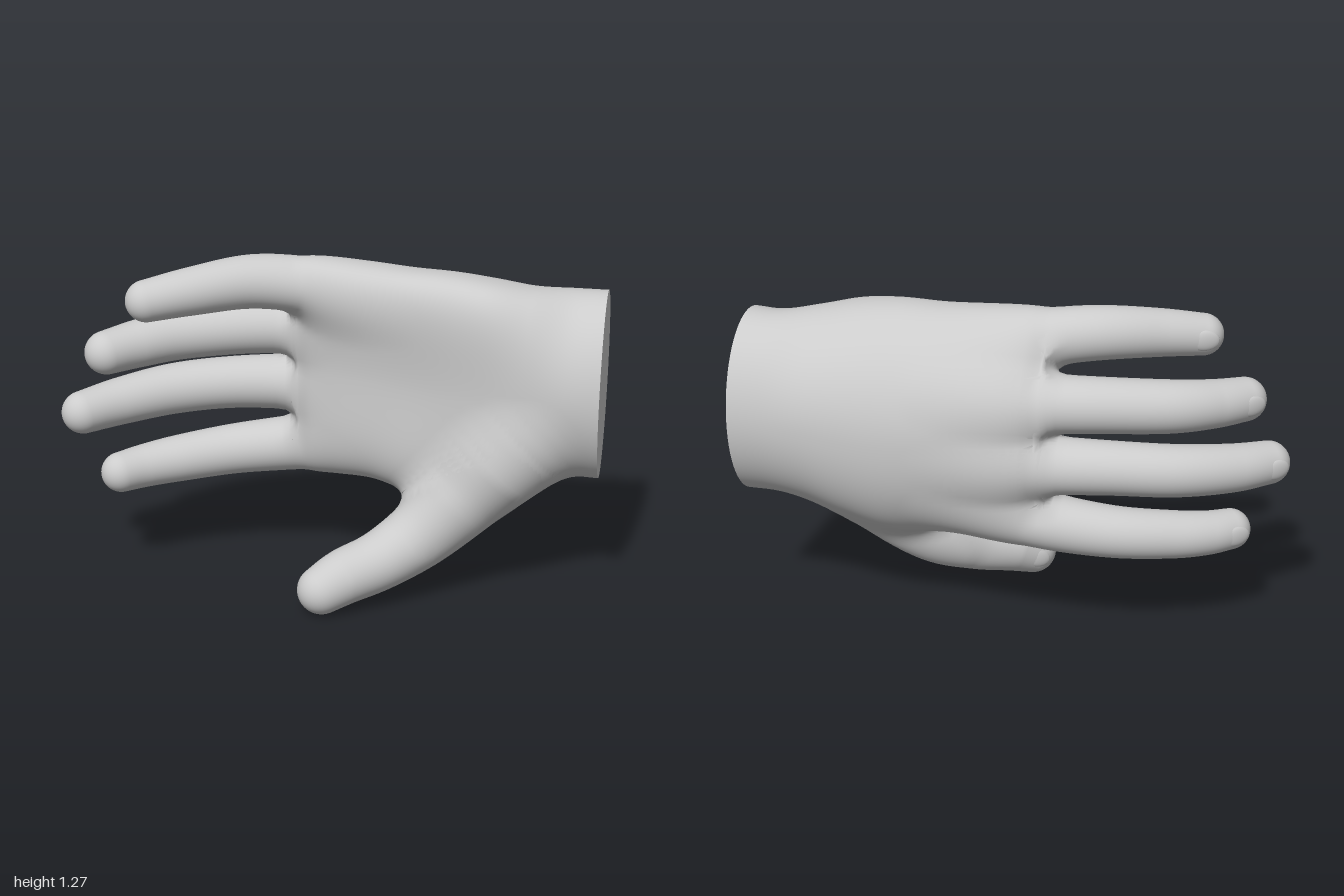
import * as THREE from 'three';

const material = new THREE.MeshStandardMaterial({ color: 0xcccccc });
const PALM_SIDES = 120, FINGER_SIDES = 48, STEPS = 40;
const { clamp, smoothstep } = THREE.MathUtils;

// Palm and wrist: x, bottom y, top y, back z, front z, little-finger-side bend,
// index-side bend, squareness
const PALM = [
  [1.00, 0.460, 1.175, -0.385, 0.14, 0, 0, 2],
  [0.88, 0.460, 1.175, -0.385, 0.14, 0, 0, 2],
  [0.74, 0.435, 1.190, -0.385, 0.132, 0.06, 0.02, 2.15],
  [0.60, 0.385, 1.217, -0.385, 0.122, 0.095, 0.04, 2.3],
  [0.45, 0.345, 1.235, -0.382, 0.105, 0.10, 0.05, 2.3],
  [0.30, 0.360, 1.240, -0.378, 0.082, 0.10, 0.05, 2.3],
  [0.15, 0.393, 1.243, -0.368, 0.060, 0.10, 0.03, 2.35],
  [0.01, 0.408, 1.238, -0.343, 0.025, 0.10, 0.02, 2.4],
  [-0.08, 0.425, 1.222, -0.312, -0.015, 0.095, 0.02, 2.4],
  [-0.14, 0.465, 1.185, -0.275, -0.07, 0.085, 0.02, 2.4],
];
const PALM_END = -0.14;

// Fingers as rows of x, y, z, radius from inside the palm to the tip
const FINGERS = {
  littleFinger: [
    [0.30, 1.06, -0.09, 0.08], [0.10, 1.113, -0.075, 0.10], [-0.10, 1.155, -0.06, 0.104],
    [-0.30, 1.175, -0.005, 0.10], [-0.50, 1.158, 0.10, 0.089], [-0.65, 1.137, 0.18, 0.078]],
  ringFinger: [
    [0.25, 0.95, -0.19, 0.10], [0.05, 0.95, -0.20, 0.115], [-0.15, 0.955, -0.185, 0.109],
    [-0.35, 0.953, -0.14, 0.103], [-0.58, 0.94, -0.055, 0.098], [-0.72, 0.925, 0.045, 0.09],
    [-0.82, 0.915, 0.143, 0.082]],
  middleFinger: [
    [0.25, 0.73, -0.20, 0.10], [0.05, 0.72, -0.215, 0.118], [-0.15, 0.722, -0.205, 0.109],
    [-0.40, 0.72, -0.16, 0.10], [-0.62, 0.705, -0.088, 0.097], [-0.80, 0.685, 0.03, 0.09],
    [-0.92, 0.672, 0.145, 0.081]],
  indexFinger: [
    [0.25, 0.56, -0.18, 0.09], [0.05, 0.52, -0.185, 0.105], [-0.15, 0.485, -0.18, 0.106],
    [-0.40, 0.453, -0.14, 0.097], [-0.60, 0.43, -0.06, 0.09], [-0.72, 0.418, 0.01, 0.083],
    [-0.80, 0.412, 0.08, 0.077]],
  thumb: [
    [0.88, 0.78, -0.12, 0.11], [0.69, 0.59, -0.03, 0.18], [0.52, 0.41, 0.005, 0.158],
    [0.36, 0.255, 0.075, 0.131], [0.22, 0.172, 0.17, 0.112], [0.10, 0.132, 0.25, 0.104],
    [0.022, 0.094, 0.304, 0.091]],
};

// Smooth (Catmull-Rom) interpolation through rows of numbers, t from 0 to 1
function sample(rows, t) {
  const f = Math.min(t, 1) * (rows.length - 1);
  const i = Math.min(Math.floor(f), rows.length - 2);
  const k = f - i;
  const b = rows[i], c = rows[i + 1];
  const a = rows[i - 1] || b.map((v, n) => 2 * v - c[n]);
  const d = rows[i + 2] || c.map((v, n) => 2 * v - b[n]);
  return b.map((v, n) => v + 0.5 * k * (c[n] - a[n]
    + k * (2 * a[n] - 5 * v + 4 * c[n] - d[n] + k * (3 * (v - c[n]) + d[n] - a[n]))));
}
const steps = (rows, n) => Array.from({ length: n + 1 }, (_, i) => sample(rows, i / n));
const sections = steps(PALM, 117);
const bones = Object.values(FINGERS).map((rows) => steps(rows, STEPS));

// Approximate distance from the palm, hollowed along the middle of its front
function palmDistance([x, y, z]) {
  let i = sections.findIndex((s) => s[0] <= x);
  if (i < 0) i = sections.length - 1;
  i = Math.max(i, 1);
  const a = sections[i - 1], b = sections[i];
  const k = clamp((x - a[0]) / (b[0] - a[0]), 0, 1);
  const [, y0, y1, z0, z1, bendTop, bendBottom, n] = a.map((v, j) => v + k * (b[j] - v));
  const dy = y - (y0 + y1) / 2, t = dy / ((y1 - y0) / 2);
  const dz = z - (z0 + z1) / 2 - (t > 0 ? bendTop : bendBottom) * t * t;
  const hollow = dz > 0 ? 0.14 * smoothstep(0.75 - x, 0, 0.5) * Math.max(1 - t * t, 0) ** 2 : 0;
  const s = dz / ((z1 - z0) / 2) / (1 - hollow);
  const rho = Math.max((Math.abs(t) ** n + Math.abs(s) ** n) ** (1 / n), 1e-3);
  const side = (1 - 1 / rho) * Math.hypot(dy, dz), end = PALM_END - x;
  return Math.hypot(Math.max(side, 0), Math.max(end, 0)) + Math.min(Math.max(side, end), 0);
}

// Distance from a finger's chain of tapered segments
function boneDistance(bone, [x, y, z]) {
  let best = Infinity;
  for (let i = 1; i < bone.length; i++) {
    const a = bone[i - 1], b = bone[i];
    const ux = b[0] - a[0], uy = b[1] - a[1], uz = b[2] - a[2];
    const px = x - a[0], py = y - a[1], pz = z - a[2];
    const h = clamp((px * ux + py * uy + pz * uz) / (ux * ux + uy * uy + uz * uz), 0, 1);
    const dx = px - h * ux, dy = py - h * uy, dz = pz - h * uz;
    best = Math.min(best, Math.sqrt(dx * dx + dy * dy + dz * dz) - a[3] - h * (b[3] - a[3]));
  }
  return best;
}

// Hand-wide field whose zero surface flows from the palm into the fingers
function blend(a, b, k) {
  const h = Math.max(k - Math.abs(a - b), 0) / k;
  return Math.min(a, b) - h * h * k / 4;
}
function field(p) {
  const fingers = bones.reduce((d, bone) => blend(d, boneDistance(bone, p), 0.03), 10);
  return blend(fingers, palmDistance(p), 0.1);
}
function gradient(p) {
  const e = 0.002, f = field(p);
  return [0, 1, 2].map((n) => (field(p.map((v, j) => (j === n ? v + e : v))) - f) / e);
}

// Skin over closed rings of points with a tip at the last one; vertices near
// the blended surface settle on it so that the joints are filleted
function skin(name, rings, tip) {
  const sides = rings[0].length, positions = [], normals = [], index = [];
  for (const v of [...rings.flat(), tip]) {
    let p = v.toArray(), g = gradient(p);
    if (field(p) > -0.055) {
      for (let i = 0; i < 5; i++) {
        const scale = field(p) / Math.max(g[0] ** 2 + g[1] ** 2 + g[2] ** 2, 0.1);
        p = p.map((c, n) => c - g[n] * scale);
        g = gradient(p);
      }
    }
    positions.push(...p);
    normals.push(...new THREE.Vector3(...g).normalize().toArray());
  }
  for (let i = 0; i < rings.length; i++) {
    for (let j = 0; j < sides; j++) {
      const a = i * sides + j, b = i * sides + (j + 1) % sides;
      if (i < rings.length - 1) index.push(a, b, a + sides, b, b + sides, a + sides);
      else index.push(a, b, rings.length * sides);
    }
  }
  const geometry = new THREE.BufferGeometry();
  geometry.setAttribute('position', new THREE.Float32BufferAttribute(positions, 3));
  geometry.setAttribute('normal', new THREE.Float32BufferAttribute(normals, 3));
  geometry.setIndex(index);
  const mesh = new THREE.Mesh(geometry, material);
  mesh.name = name;
  return mesh;
}

function makePalm() {
  const rings = sections.map(([x, y0, y1, z0, z1, bendTop, bendBottom, n]) =>
    Array.from({ length: PALM_SIDES }, (_, j) => {
      const angle = j / PALM_SIDES * Math.PI * 2;
      const power = (v) => Math.sign(v) * Math.abs(v) ** (2 / n);
      const t = power(Math.cos(angle)), s = power(Math.sin(angle));
      return new THREE.Vector3(x, (y0 + y1) / 2 + t * (y1 - y0) / 2,
        (z0 + z1) / 2 - s * (z1 - z0) / 2 + (t > 0 ? bendTop : bendBottom) * t * t);
    }));
  // Webs between the finger roots
  const tip = new THREE.Vector3(PALM_END, 0.825, -0.17), last = rings[rings.length - 1];
  for (let i = 1; i < 12; i++) rings.push(last.map((p) => p.clone().lerp(tip, i / 12)));
  return skin('palm', rings, tip);
}

function makeFinger(name, rows) {
  const group = new THREE.Group();
  group.name = name;
  const point = (t) => new THREE.Vector3(...sample(rows, t).slice(0, 3));
  const frame = (t) => {
    const dir = point(Math.min(t + 0.01, 1)).sub(point(Math.max(t - 0.01, 0))).normalize();
    const up = new THREE.Vector3(0, 1, 0).addScaledVector(dir, -dir.y).normalize();
    return { dir, up, back: dir.clone().cross(up) };
  };
  const circle = (centre, { up, back }, r) => Array.from({ length: FINGER_SIDES }, (_, j) => {
    const angle = j / FINGER_SIDES * Math.PI * 2;
    return centre.clone().addScaledVector(up, r * Math.cos(angle)).addScaledVector(back, r * Math.sin(angle));
  });
  const rings = [];
  for (let i = 0; i <= STEPS; i++) rings.push(circle(point(i / STEPS), frame(i / STEPS), sample(rows, i / STEPS)[3]));
  // Round tip
  const end = frame(1), r = rows[rows.length - 1][3];
  for (let i = 1; i < 10; i++) {
    const a = i / 10 * Math.PI / 2;
    rings.push(circle(point(1).addScaledVector(end.dir, r * Math.sin(a)), end, r * Math.cos(a)));
  }
  group.add(skin(name + 'Skin', rings, point(1).addScaledVector(end.dir, r)));

  // Nail barely raised from the back of the tip
  const nail = new THREE.Mesh(new THREE.SphereGeometry(1, 24, 16), material);
  nail.name = name + 'Nail';
  nail.quaternion.setFromRotationMatrix(new THREE.Matrix4().makeBasis(end.dir, end.up, end.back));
  nail.scale.set(0.06, 0.04, 0.016);
  nail.position.copy(point(1)).addScaledVector(end.dir, -0.015).addScaledVector(end.back, r - 0.012);
  group.add(nail);
  return group;
}

export function createModel() {
  const hand = new THREE.Group();
  hand.name = 'hand';
  hand.add(makePalm());
  for (const [name, rows] of Object.entries(FINGERS)) hand.add(makeFinger(name, rows));

  // Flat cut through the wrist
  const cut = new THREE.Mesh(new THREE.CircleGeometry(1, PALM_SIDES).rotateY(Math.PI / 2), material);
  cut.name = 'wristCut';
  cut.scale.set(1, 0.3575, 0.2625);
  cut.position.set(1, 0.8175, -0.1225);
  hand.add(cut);
  return hand;
}
